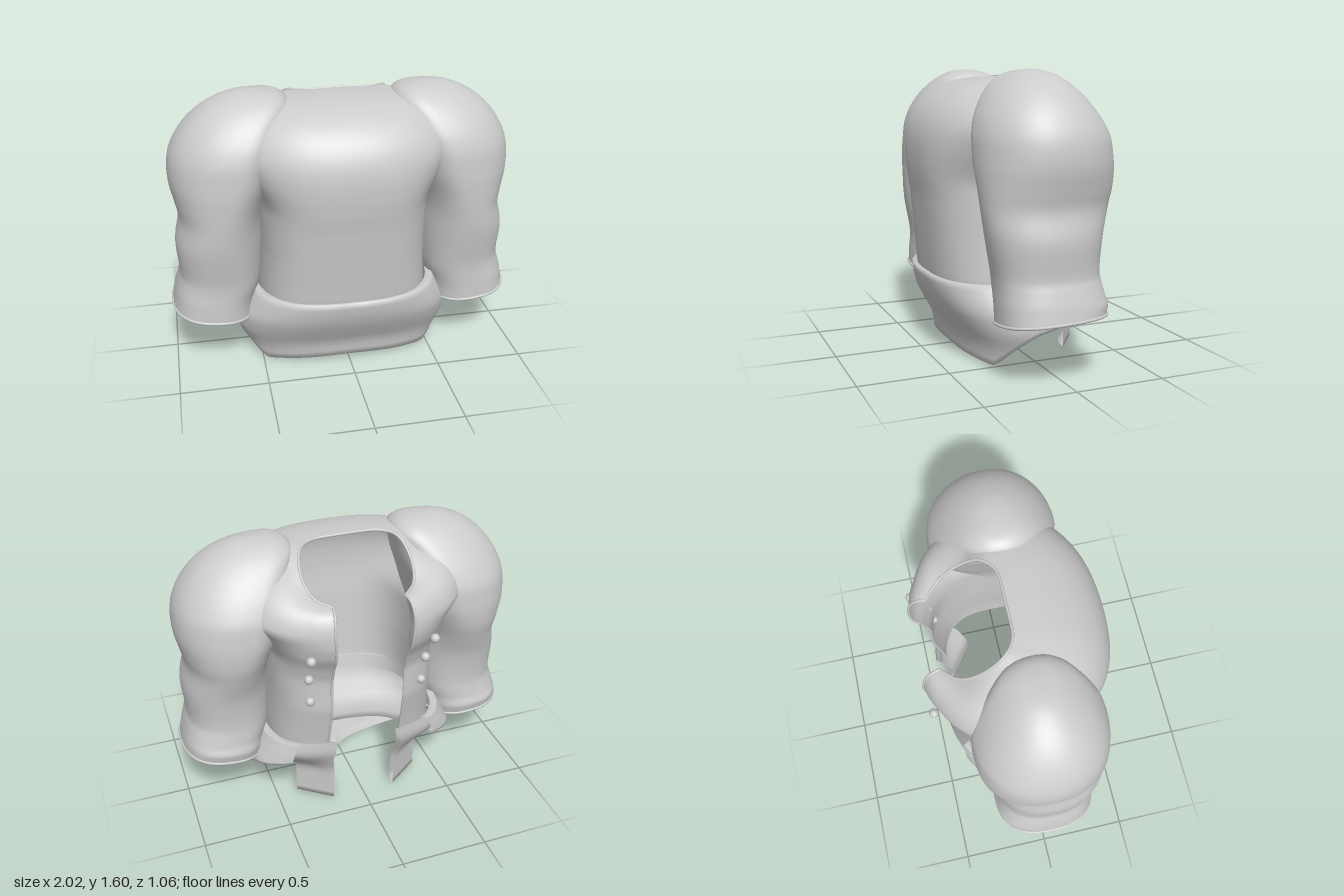
import * as THREE from 'three';

const cloth = new THREE.MeshStandardMaterial({ color: 0xcccccc, side: THREE.DoubleSide });
cloth.name = 'light grey cloth';

const { lerp, degToRad, clamp, smoothstep } = THREE.MathUtils;
const spow = (v, e) => Math.sign(v) * Math.pow(Math.abs(v), e);
const spline = rows => new THREE.CatmullRomCurve3(rows.map(p => new THREE.Vector3(...p)));

// Piecewise-linear lookup: rows of [key, value...] sorted by key
function lookup(rows, k, col = 1) {
  if (k <= rows[0][0]) return rows[0][col];
  for (let i = 1; i < rows.length; i++) {
    const a = rows[i - 1], b = rows[i];
    if (k <= b[0]) return lerp(a[col], b[col], (k - a[0]) / (b[0] - a[0]));
  }
  return rows[rows.length - 1][col];
}

// Smooth surface from point(u, v) with u and v in 0..1
function surface(name, point, nu, nv) {
  const pos = [], index = [];
  for (let j = 0; j <= nv; j++)
    for (let i = 0; i <= nu; i++) pos.push(...point(i / nu, j / nv));
  for (let j = 0; j < nv; j++)
    for (let i = 0; i < nu; i++) {
      const a = j * (nu + 1) + i, b = a + nu + 1;
      index.push(a, a + 1, b, a + 1, b + 1, b);
    }
  const g = new THREE.BufferGeometry();
  g.setAttribute('position', new THREE.Float32BufferAttribute(pos, 3));
  g.setIndex(index);
  g.computeVertexNormals();
  const mesh = new THREE.Mesh(g, cloth);
  mesh.name = name;
  return mesh;
}

// Rounded-square outline; angle 0 is the front, 180 the back
function outline(deg, w, front, back, ex, ez = ex) {
  const a = degToRad(deg), c = Math.cos(a);
  return [w * spow(Math.sin(a), ex), (c > 0 ? front : back) * spow(c, ez)];
}

// Torso: [y, half width, front depth, back depth]
const torsoRows = [
  [0.36, 0.49, 0.44, 0.38], [0.45, 0.49, 0.46, 0.39], [0.6, 0.48, 0.475, 0.42], [0.7, 0.475, 0.485, 0.44],
  [0.9, 0.475, 0.505, 0.44], [1.0, 0.475, 0.52, 0.475], [1.08, 0.475, 0.528, 0.52], [1.15, 0.475, 0.53, 0.535],
];
const BACK = 163;
const neck = spline([
  [0, 1.56, -0.02], [0.2, 1.555, -0.03], [0.28, 1.54, -0.1],
  [0.31, 1.45, -0.23], [0.28, 1.375, -0.34], [0.2, 1.35, -0.42],
]);

function torsoPoint(u, v) {
  const deg = lerp(-BACK, BACK, u), turn = Math.abs(deg), split = 0.5;
  const y = lerp(0.36, 1.15, Math.min(v / split, 1));
  const a = Math.max(0, (v - split) / (1 - split)) * Math.PI / 2;
  // the shoulders broaden into the sleeves
  const k = smoothstep(v, 0.38, 0.62);
  const w = lookup(torsoRows, y) + k * lerp(0.02, 0.19, clamp((140 - turn) / 50, 0, 1));
  const ex = turn < 90 ? lerp(0.68, 0.88, k) : 0.65;
  const ez = turn < 90 ? ex : lerp(0.65, 0.45, k);
  const [x, z] = outline(deg, w, lookup(torsoRows, y, 2), lookup(torsoRows, y, 3), ex, ez);
  // rounded yoke from chest to neckline
  const out = Math.pow(Math.max(Math.cos(a), 0), 0.75), up = Math.pow(Math.sin(a), 0.85);
  const n = neck.getPoint(turn / BACK);
  return [lerp(n.x * Math.sign(deg), x, out), lerp(y, n.y, up), lerp(n.z, z, out)];
}

// Sleeve rings: [y, inner x, outer x] and [back z, front z]
const sleeveX = spline([
  [0.33, 0.53, 1.0], [0.42, 0.52, 0.985], [0.5, 0.49, 0.965], [0.56, 0.48, 0.95], [0.75, 0.47, 0.96],
  [0.9, 0.47, 0.932], [1.0, 0.45, 0.95], [1.12, 0.41, 0.973], [1.25, 0.37, 0.965], [1.35, 0.335, 0.925],
  [1.45, 0.31, 0.85], [1.53, 0.29, 0.75], [1.58, 0.34, 0.64], [1.596, 0.42, 0.57], [1.6, 0.495, 0.495],
]);
const sleeveZ = spline([
  [-0.25, 0.325, 0], [-0.25, 0.325, 0], [-0.24, 0.325, 0], [-0.235, 0.33, 0], [-0.255, 0.365, 0],
  [-0.3, 0.383, 0], [-0.33, 0.39, 0], [-0.343, 0.395, 0], [-0.335, 0.39, 0], [-0.295, 0.365, 0],
  [-0.23, 0.31, 0], [-0.155, 0.235, 0], [-0.075, 0.15, 0], [-0.01, 0.08, 0], [0.035, 0.035, 0],
]);

function sleevePoint(side, u, v) {
  const r = sleeveX.getPoint(v), d = sleeveZ.getPoint(v), a = Math.PI * (2 * u + 1), c = Math.cos(a);
  // the puff is fullest towards the body, the cuff a little squarer
  const mid = lerp(r.y, r.z, 0.5 - 0.14 * smoothstep(r.x, 0.8, 1.2));
  const e = lerp(0.8, 0.92, smoothstep(r.x, 0.4, 0.8));
  const x = mid + (c > 0 ? r.z - mid : mid - r.y) * spow(c, e);
  const z = (d.x + d.y) / 2 + (d.y - d.x) / 2 * spow(Math.sin(a), e);
  // slanted cuff opening
  const slant = clamp((0.55 - r.x) / 0.2, 0, 1);
  return [side * x, r.x + slant * (0.11 * (x - 0.765) - 0.04 * z), z];
}

// Briefs: [y, half width, front depth, back depth]
const briefRows = [
  [0, 0.57, 0.335, 0.37], [0.08, 0.59, 0.345, 0.375], [0.14, 0.62, 0.36, 0.385], [0.2, 0.64, 0.395, 0.4],
  [0.3, 0.635, 0.45, 0.43], [0.38, 0.59, 0.478, 0.44], [0.46, 0.545, 0.49, 0.44],
];
const hemRows = [[0, 0.03], [35, 0.015], [52, 0], [62, 0.05], [74, 0.12], [90, 0.2], [110, 0.28], [142, 0.34]];
const SIDE = 142;

function briefPoint(deg, y, inset = 0) {
  const w = lookup(briefRows, y), e = Math.abs(deg) < 90 ? 0.74 : 0.65;
  const [x, z] = outline(deg, w - inset, lookup(briefRows, y, 2) - inset, lookup(briefRows, y, 3) - inset, e);
  return [x, y, z];
}
const hemPoint = deg => briefPoint(deg, lookup(hemRows, Math.abs(deg)));

// Turned-in waistband, outer cloth to the hem, then back up the inside
function briefDrop(u, v) {
  const deg = lerp(-SIDE, SIDE, u), hem = lookup(hemRows, Math.abs(deg));
  if (v < 0.001) return briefPoint(deg, 0.45, 0.04);
  if (v < 0.55) return briefPoint(deg, lerp(0.46, hem, (v - 1 / 24) / (12 / 24)));
  return briefPoint(deg, lerp(hem, 0.42, (v - 14 / 24) / (10 / 24)), 0.025);
}

// Back flap: hangs from the waistband and turns forward at its outer side
function flapPoint(side, u, v) {
  const folded = v > 0.5, t = folded ? (1 - v) * 2 : v * 2;
  const inset = folded ? 0.025 : 0, y = lerp(0.46, 0.015, t);
  const [x, , z] = briefPoint(lerp(136, 169, u), Math.max(y, 0.3), inset);
  const k = smoothstep(t, 0.08, 0.6);
  return [side * lerp(x, lerp(0.38, 0.19, u) - inset / 2, k), y, lerp(z, lerp(-0.235, -0.375, u) + inset, k)];
}

function tube(name, points, r) {
  const mesh = new THREE.Mesh(new THREE.TubeGeometry(spline(points), 64, r, 8), cloth);
  mesh.name = name;
  return mesh;
}

export function createModel() {
  const model = new THREE.Group();
  model.name = 'puffSleeveSuit';
  const steps = Array.from({ length: 25 }, (_, i) => i / 24);

  model.add(surface('torso', torsoPoint, 96, 60));
  model.add(tube('neckline', steps.map(u => torsoPoint(u, 1)), 0.008));
  model.add(surface('briefs', briefDrop, 100, 24));

  // Crotch gusset narrowing to a point
  model.add(surface('gusset', (u, v) => {
    const [x, y, z] = hemPoint(lerp(-52, 52, u));
    return [x * Math.pow(1 - v, 3), lerp(y, 0.03, v), lerp(z, 0.03, v)];
  }, 32, 12));

  for (const s of [-1, 1]) {
    model.add(surface('sleeve', (u, v) => sleevePoint(s, u, v), 48, 60));
    model.add(tube('sleeveHem', steps.map(u => sleevePoint(s, u, 0)), 0.008));
    model.add(tube('backEdge', steps.map(v => torsoPoint(s > 0 ? 1 : 0, v)), 0.008));
    model.add(surface('backFlap', (u, v) => flapPoint(s, u, v), 12, 28));
    // Small studs down the back panel
    for (const [x, y, z] of [[0.35, 1.1, -0.5], [0.34, 0.93, -0.415], [0.33, 0.77, -0.395]]) {
      const stud = new THREE.Mesh(new THREE.SphereGeometry(0.027, 12, 8), cloth);
      stud.name = 'stud';
      stud.position.set(s * x, y, z);
      model.add(stud);
    }
  }
  return model;
}
